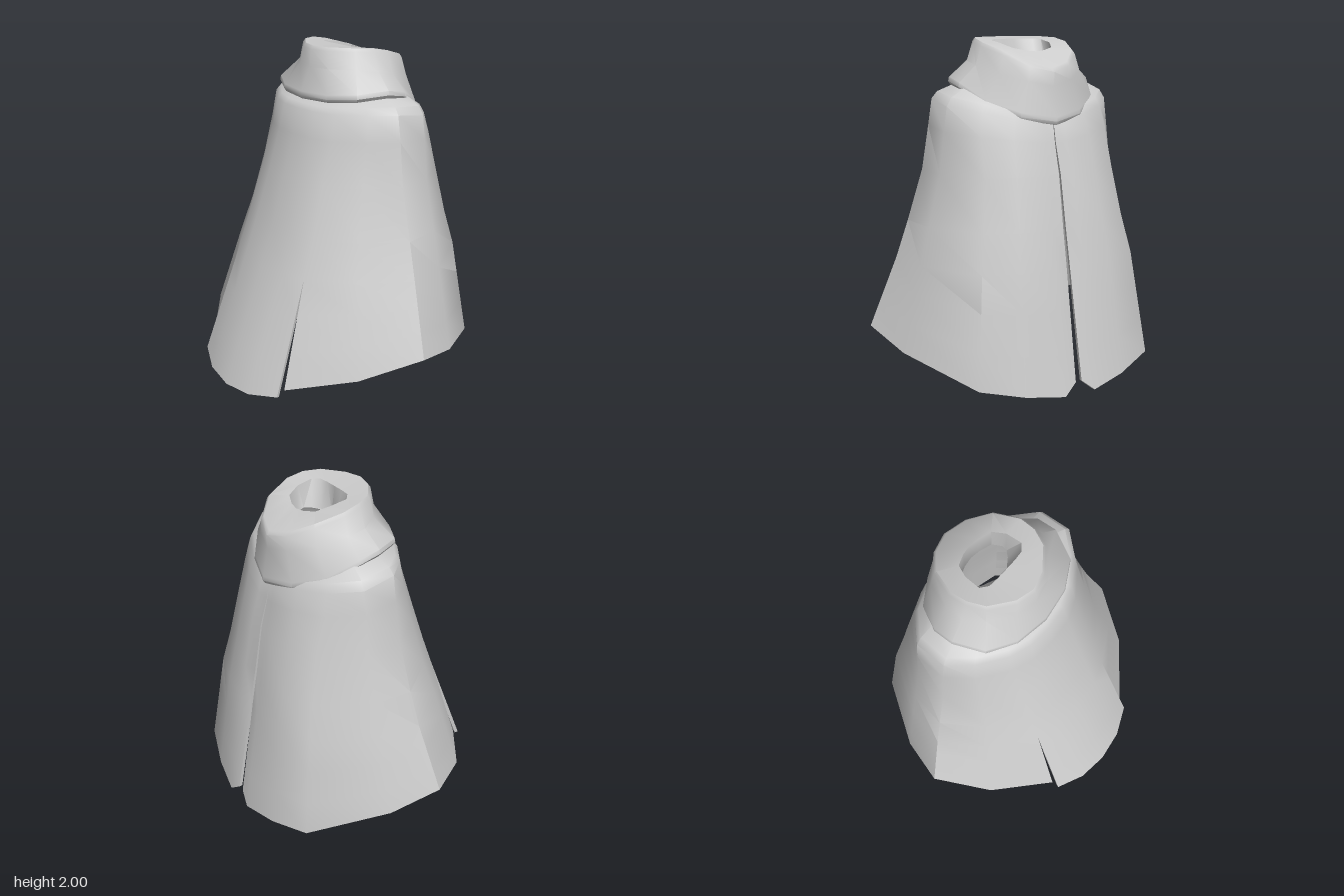
import * as THREE from 'three';
import { mergeVertices, toCreasedNormals } from 'three/addons/utils/BufferGeometryUtils.js';

// Indexed geometry from a flat position list and an index list
function makeGeometry(positions, index) {
  const g = new THREE.BufferGeometry();
  g.setAttribute('position', new THREE.Float32BufferAttribute(positions, 3));
  g.setIndex(index);
  return g;
}

// Mirror a half row (front centre -> left -> back centre) into a full row
function mirrorRow(half, keepBack) {
  const right = half.slice(1, keepBack ? undefined : -1).reverse().map(([x, y, z]) => [-x, y, z]);
  return [...right, ...half];
}

// Quads between rows running from top to bottom; skip(i) leaves a column open
function loft(rows, { closed = false, skip = () => false } = {}) {
  const n = rows[0].length, m = rows.length, index = [];
  for (let j = 0; j < (closed ? m : m - 1); j++) {
    for (let i = 0; i < (closed ? n : n - 1); i++) {
      if (skip(i)) continue;
      const k = (i + 1) % n, l = (j + 1) % m;
      const a = j * n + i, b = l * n + i, c = l * n + k, d = j * n + k;
      index.push(a, b, c, a, c, d);
    }
  }
  return makeGeometry(rows.flat(2), index);
}

// Thicken an open surface inwards and wall in all of its open edges
function shell(surface, thickness) {
  const g = mergeVertices(surface, 1e-4);
  g.computeVertexNormals();
  const p = g.attributes.position, nor = g.attributes.normal, idx = g.index.array;
  const outer = [], inner = [];
  for (let i = 0; i < p.count; i++) {
    const v = new THREE.Vector3().fromBufferAttribute(p, i);
    const n = new THREE.Vector3().fromBufferAttribute(nor, i);
    outer.push(v.toArray());
    inner.push(v.addScaledVector(n, -thickness).toArray());
  }
  const edges = new Set();
  const tris = [];
  for (let i = 0; i < idx.length; i += 3) {
    const t = [idx[i], idx[i + 1], idx[i + 2]];
    tris.push(...t);
    t.forEach((a, k) => edges.add(a + '_' + t[(k + 1) % 3]));
  }
  const count = p.count;
  const index = [...tris];
  for (let i = 0; i < tris.length; i += 3) {
    index.push(tris[i] + count, tris[i + 2] + count, tris[i + 1] + count);
  }
  for (const e of edges) {
    const [a, b] = e.split('_').map(Number);
    if (edges.has(b + '_' + a)) continue;
    index.push(b, a, a + count, b, a + count, b + count);
  }
  return makeGeometry([...outer, ...inner].flat(), index);
}

// Join [x, z] outline points with a list of heights
const lift = (outline, heights) => outline.map(([x, z], i) => [x, heights[i], z]);

// Scale an outline about the neck axis
const scaleOutline = (outline, s, zc = -0.17) => outline.map(([x, z]) => [x * s, zc + (z - zc) * s]);

function cloakGeometry() {
  // Half outlines: front centre, round the left side, to the back opening.
  // The third and fourth points are the two edges of the front slit.
  const shoulder = [[0, .245], [.14, .235], [.27, .19], [.27, .19], [.43, .08], [.54, -.05],
    [.54, -.25], [.4, -.4], [.23, -.48], [.06, -.525], [.002, -.515]];
  const chest = [[0, .28], [.15, .27], [.28, .22], [.28, .22], [.45, .1], [.565, -.05],
    [.56, -.25], [.42, -.43], [.25, -.51], [.07, -.55], [.003, -.535]];
  const waist = [[0, .36], [.16, .345], [.29, .3], [.29, .3], [.48, .15], [.605, -.04],
    [.59, -.25], [.43, -.49], [.26, -.56], [.08, -.6], [.006, -.585]];
  const hip = [[0, .45], [.18, .44], [.32, .39], [.32, .39], [.53, .22], [.695, -.02],
    [.665, -.25], [.47, -.55], [.28, -.625], [.09, -.66], [.009, -.64]];
  const slitTop = [[0, .535], [.19, .52], [.33, .47], [.33, .47], [.58, .28], [.765, 0],
    [.72, -.25], [.51, -.6], [.3, -.67], [.095, -.705], [.011, -.685]];
  const hem = [[0, .825], [.2, .8], [.38, .72], [.385, .67], [.72, .39], [.92, .06],
    [.84, -.25], [.58, -.69], [.33, -.78], [.1, -.83], [.02, -.81]];

  const hemHeights = [.01, .025, .06, .09, .2, .305, .225, .1, .045, .015, .08];
  const shoulderHeights = [1.65, 1.65, 1.65, 1.65, 1.66, 1.66, 1.63, 1.6, 1.57, 1.53, 1.52];
  const neckHeights = [1.71, 1.71, 1.72, 1.72, 1.73, 1.74, 1.73, 1.69, 1.65, 1.6, 1.58];
  const chestHeights = shoulderHeights.map(y => 1.5 + (y - 1.65) * 0.6);
  const level = y => hem.map(() => y);

  const slitRow = lift(slitTop, level(.73)), hemRow = lift(hem, hemHeights);
  const between = t => slitRow.map((p, i) => p.map((v, k) => v + (hemRow[i][k] - v) * t));
  const rows = [
    lift(scaleOutline(shoulder, .76), neckHeights),
    lift(scaleOutline(shoulder, .94), shoulderHeights.map((y, i) => y * .5 + neckHeights[i] * .5)),
    lift(shoulder, shoulderHeights),
    lift(chest, chestHeights),
    lift(waist, level(1.25)),
    lift(hip, level(.95)),
    slitRow, between(.33), between(.67), hemRow,
  ].map(r => mirrorRow(r, true));

  // Columns 7 and 12 are the open front slits
  const surface = loft(rows, { skip: i => i === 7 || i === 12 });
  return toCreasedNormals(shell(surface, .022), .7);
}

function collarGeometry() {
  const lip = [[0, .22], [.2, .19], [.36, .1], [.44, -.07], [.44, -.2], [.36, -.37], [.2, -.49], [0, -.555]];
  const lipY = [1.7, 1.705, 1.72, 1.735, 1.71, 1.62, 1.555, 1.525];
  const neck = [[0, .15], [.13, .12], [.26, .02], [.33, -.09], [.33, -.2], [.27, -.37], [.14, -.475], [0, -.515]];
  const neckY = [1.88, 1.88, 1.88, 1.87, 1.85, 1.81, 1.77, 1.74];
  const rim = [[0, .14], [.11, .11], [.24, .01], [.285, -.09], [.295, -.2], [.24, -.36], [.13, -.47], [0, -.515]];
  const rimY = [2, 2, 2, 1.995, 1.975, 1.93, 1.87, 1.84];
  const hole = [[0, -.06], [.07, -.06], [.13, -.065], [.17, -.1], [.165, -.2], [.13, -.28], [.06, -.31], [0, -.32]];
  const holeY = [1.99, 1.99, 1.99, 1.985, 1.97, 1.945, 1.93, 1.925];
  const throat = [[0, -.08], [.06, -.11], [.11, -.145], [.14, -.18], [.15, -.22], [.13, -.28], [.06, -.31], [0, -.32]];
  const add = (heights, d) => heights.map(y => y + d);

  // Closed section: hole, rim, neck, flared lip and underside
  const rings = [
    lift(throat, add(holeY, -.15)),
    lift(hole, holeY),
    lift(scaleOutline(rim, .95), rimY),
    lift(rim, add(rimY, -.02)),
    lift(neck, neckY),
    lift(scaleOutline(lip, .99), add(lipY, .045)),
    lift(lip, add(lipY, .02)),
    lift(scaleOutline(lip, .97), lipY),
    lift(scaleOutline(lip, .8), add(lipY, .01)),
  ].map(r => mirrorRow(r, false));
  return toCreasedNormals(loft(rings, { closed: true }), .75);
}

export function createModel() {
  const group = new THREE.Group();
  group.name = 'cloak';
  const cloth = new THREE.MeshStandardMaterial({ color: 0xcccccc });
  cloth.name = 'light grey cloth';

  // Draped body with two front slits and an open back seam
  const body = new THREE.Mesh(cloakGeometry(), cloth);
  body.name = 'cloakBody';

  // Tilted collar with the neck opening
  const collar = new THREE.Mesh(collarGeometry(), cloth);
  collar.name = 'collar';

  group.add(body, collar);
  return group;
}
